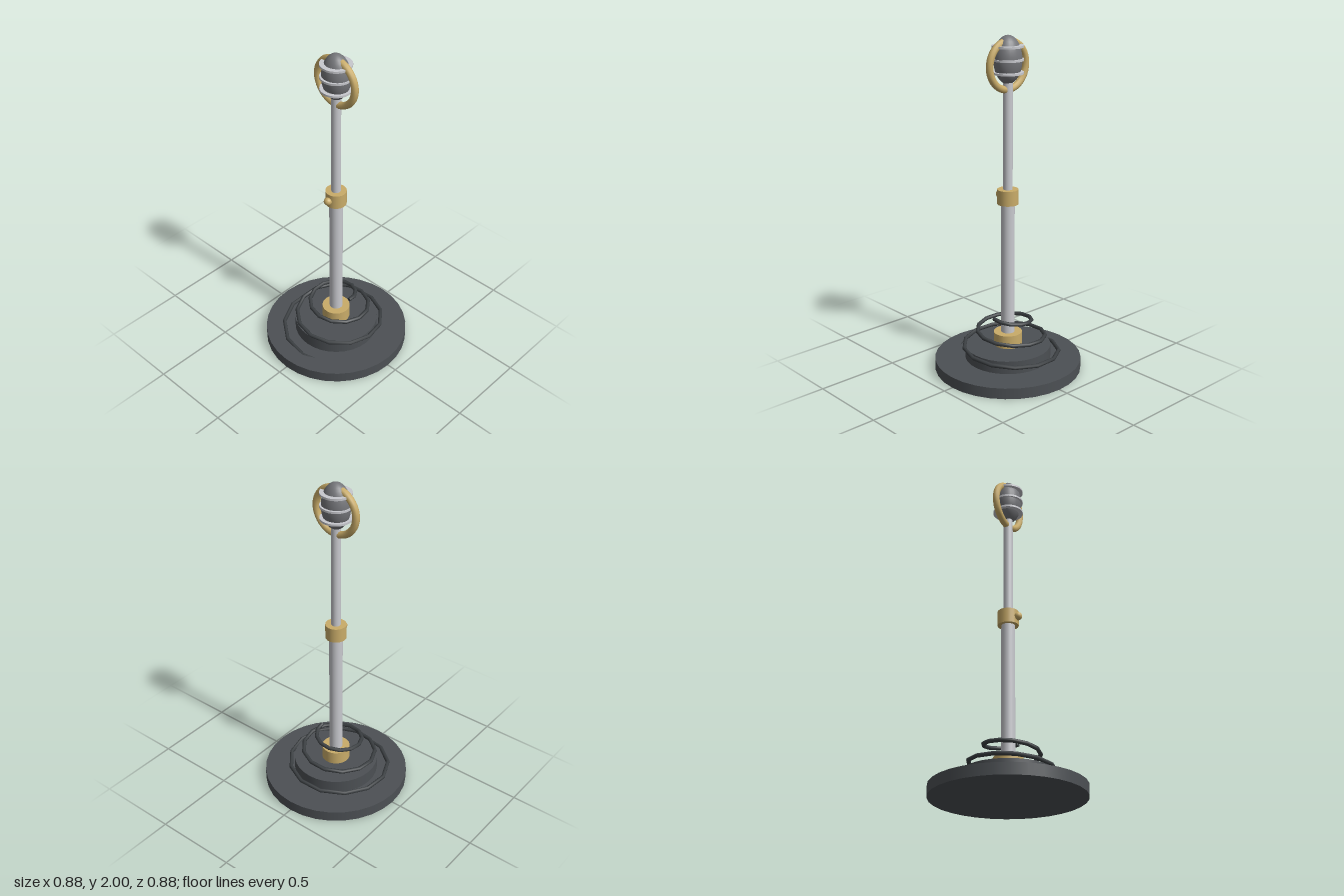
import * as THREE from 'three';

const material = (name, color) => {
  const m = new THREE.MeshStandardMaterial({ color });
  m.name = name;
  return m;
};

// Cable path: a cone-shaped helix widening as it falls, evenly stepped by angle
class ConeHelix extends THREE.Curve {
  getPoint(t, target = new THREE.Vector3()) {
    const turns = 3 * t, a = turns * Math.PI * 2, r = 0.11 + 0.083 * turns;
    return target.set(Math.cos(a) * r, 0.335 - 0.1 * turns, -Math.sin(a) * r);
  }
  getPointAt(t, target) { return this.getPoint(t, target); }
  getTangentAt(t, target) { return this.getTangent(t, target); }
}

export function createModel() {
  const model = new THREE.Group();
  model.name = 'microphoneStand';
  const iron = material('dark iron', 0x4c5054);
  const rubber = material('black rubber', 0x3b3f42);
  const chrome = material('chrome', 0xc8c9ce);
  const brass = material('brass', 0xc9ac69);
  const grille = material('grey grille', 0x75767a);

  const add = (name, geometry, mat, x = 0, y = 0, z = 0) => {
    const mesh = new THREE.Mesh(geometry, mat);
    mesh.name = name;
    mesh.position.set(x, y, z);
    model.add(mesh);
    return mesh;
  };
  const cylinder = (name, r, y0, y1, mat, sides = 24) =>
    add(name, new THREE.CylinderGeometry(r, r, y1 - y0, sides), mat, 0, (y0 + y1) / 2);

  // Stepped base
  cylinder('basePlate', 0.44, 0, 0.066, iron, 32);
  cylinder('baseTier', 0.257, 0.066, 0.145, iron, 32);
  cylinder('baseCollar', 0.085, 0.145, 0.226, brass);

  // Telescopic pole with clamp and knob
  cylinder('lowerPole', 0.04, 0.145, 1.05, chrome);
  cylinder('upperPole', 0.028, 1.05, 1.75, chrome);
  cylinder('clampCollar', 0.062, 1.027, 1.115, brass);
  add('clampKnob', new THREE.SphereGeometry(0.024, 16, 12), brass, 0, 1.072, 0.068);

  // Ring holder around the head
  add('ringHolder', new THREE.TorusGeometry(0.136, 0.021, 10, 40), brass, 0, 1.831, 0);

  // Egg-shaped head with three thin bands
  add('head', new THREE.SphereGeometry(1, 24, 18), grille, 0, 1.863, 0).scale.set(0.085, 0.137, 0.077);
  for (const y of [1.79, 1.864, 1.938]) cylinder('headBand', 0.09, y - 0.006, y + 0.006, chrome, 32);

  // Coiled cable, with its upper end closed
  add('cable', new THREE.TubeGeometry(new ConeHelix(), 39, 0.012, 8), rubber);
  add('cableEnd', new THREE.CircleGeometry(0.012, 8), rubber, 0.11, 0.335, 0);

  return model;
}
